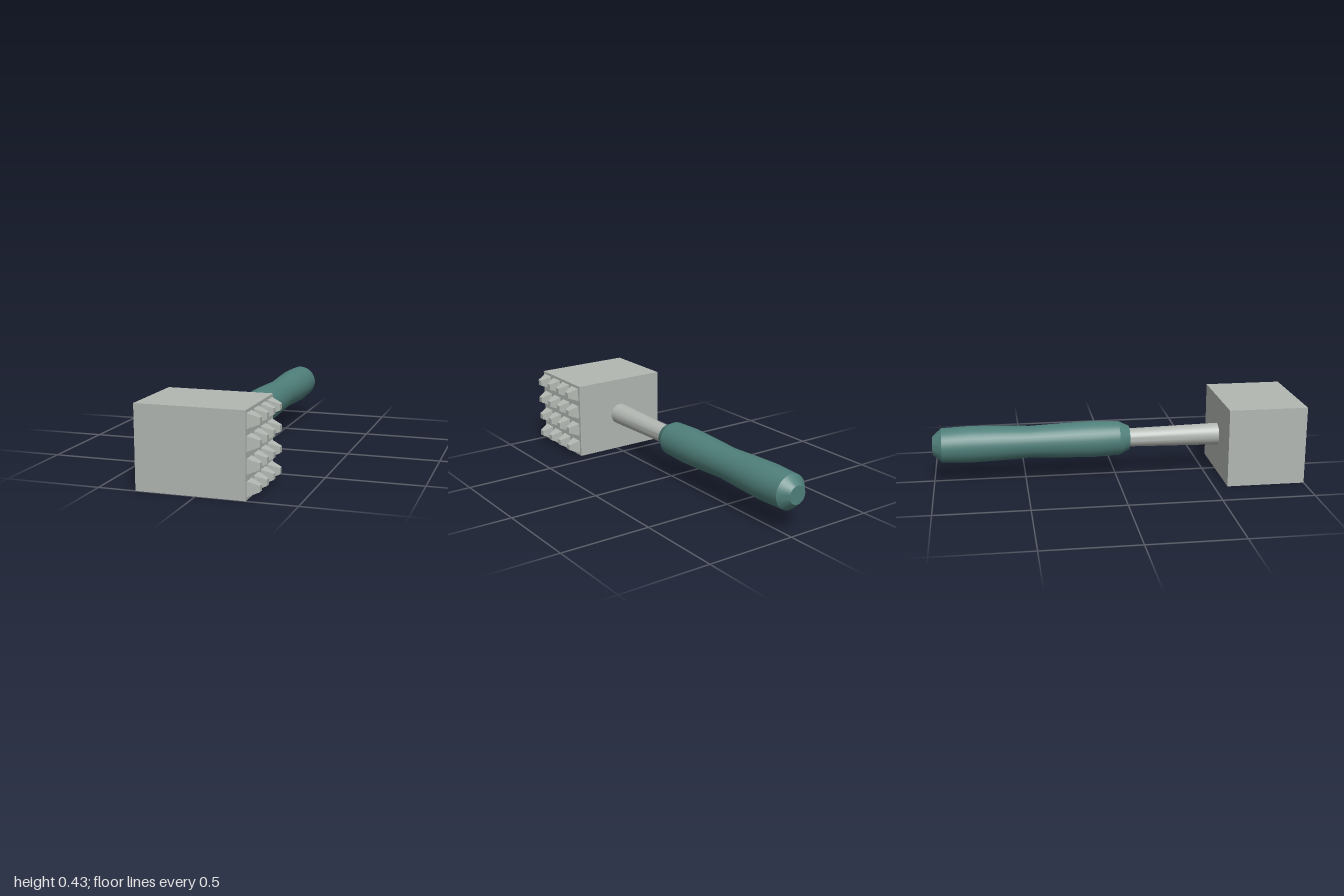
import * as THREE from 'three';
import { toCreasedNormals } from 'three/addons/utils/BufferGeometryUtils.js';

export function createModel() {
  const group = new THREE.Group();
  group.name = 'meatMallet';
  const metal = new THREE.MeshStandardMaterial({ color: 0xb2b7b2 });
  const teeth = new THREE.MeshStandardMaterial({ color: 0xb2b7b2, flatShading: true });
  const teal = new THREE.MeshStandardMaterial({ color: 0x4f7f7a });

  function add(name, geometry, material, x, y, z, parent = group) {
    const mesh = new THREE.Mesh(geometry, material);
    mesh.name = name;
    mesh.position.set(x, y, z);
    parent.add(mesh);
    return mesh;
  }

  // Block head
  const size = 0.427, faceX = 0.248, midY = size / 2, midZ = 1 - size / 2;
  add('head', new THREE.BoxGeometry(0.553, size, size), metal, faceX - 0.553 / 2, midY, midZ);

  // 4 x 4 grid of blunt pyramid teeth on the left face
  const toothHeight = 0.057, pitch = 0.107;
  const tooth = new THREE.CylinderGeometry(0.0155 * Math.SQRT2, 0.0375 * Math.SQRT2, toothHeight, 4);
  tooth.rotateY(Math.PI / 4).rotateZ(-Math.PI / 2);
  const toothGrid = new THREE.Group();
  toothGrid.name = 'teeth';
  group.add(toothGrid);
  for (let i = 0; i < 4; i++) {
    for (let j = 0; j < 4; j++) {
      add('tooth', tooth, teeth, faceX + toothHeight / 2,
        midY + (i - 1.5) * pitch, midZ + (j - 1.5) * pitch, toothGrid);
    }
  }

  // Turned parts: profile of [radius, z], revolved about the handle axis
  function turned(name, profile, material) {
    const points = profile.map(([r, z]) => new THREE.Vector2(r, z));
    const geometry = new THREE.LatheGeometry(points, 32).rotateX(Math.PI / 2);
    add(name, toCreasedNormals(geometry, 0.4), material, -0.029, midY, 0);
  }

  // Tapered metal shaft
  turned('shaft', [[0, 0.05], [0.05, 0.05], [0.061, 0.58], [0, 0.58]], metal);

  // Waisted grip with chamfered ends
  turned('grip', [
    [0, -1], [0.05, -1], [0.094, -0.95], [0.1, -0.79], [0.095, -0.64],
    [0.087, -0.47], [0.095, -0.29], [0.1, -0.13], [0.094, 0.015], [0.066, 0.073], [0, 0.073],
  ], teal);

  return group;
}
